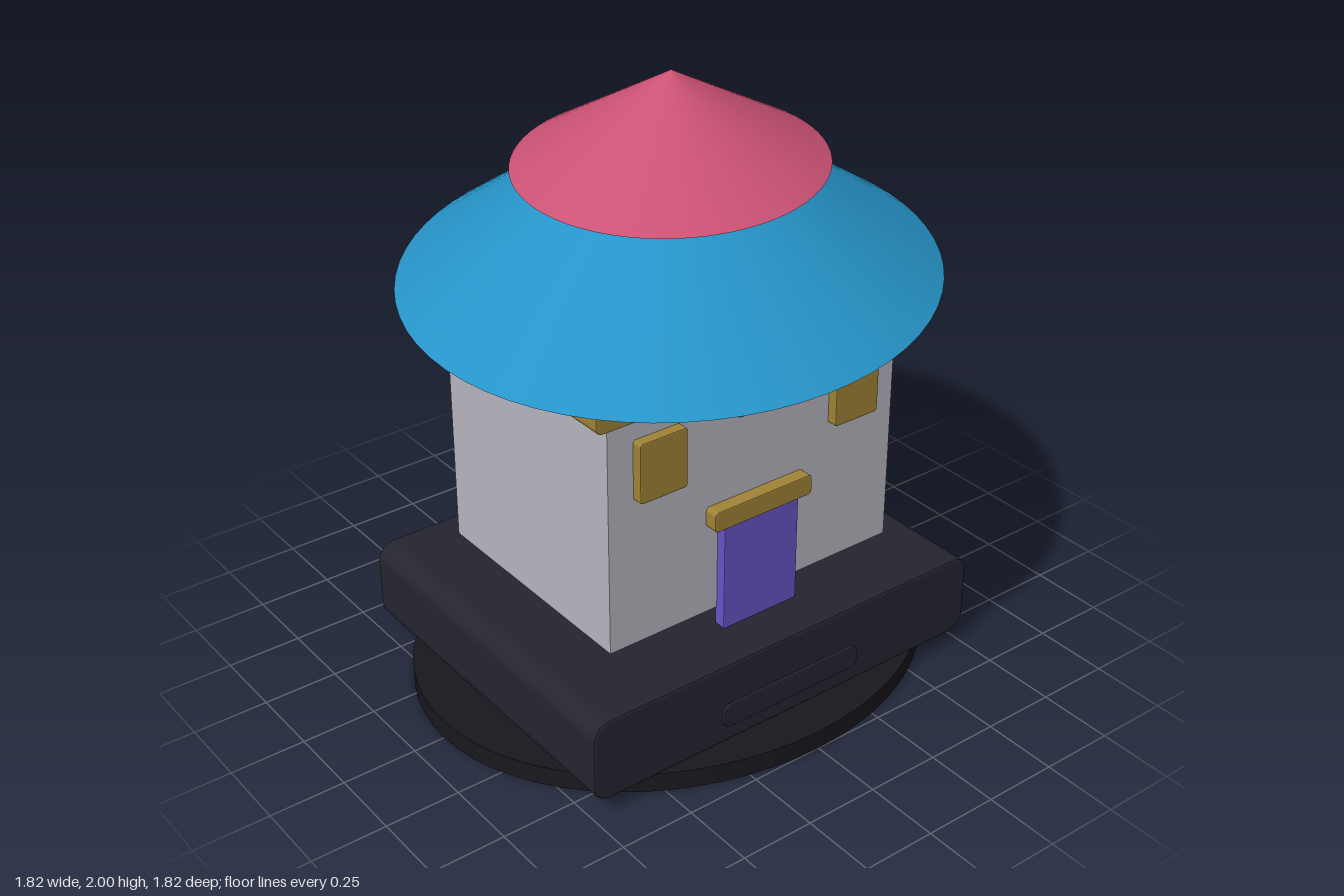
import * as THREE from 'three';

const mat = (name, color) => {
  const m = new THREE.MeshStandardMaterial({ color });
  m.name = name;
  return m;
};

// Slab with rounded front outline, spanning x, y and z ranges
function slab(x0, x1, y0, y1, z0, z1, r, bevel) {
  const a = x0 + bevel, b = x1 - bevel, c = y0 + bevel, d = y1 - bevel;
  const q = Math.max(r - bevel, 0.002);
  const s = new THREE.Shape();
  s.moveTo(a + q, c);
  s.lineTo(b - q, c);
  s.absarc(b - q, c + q, q, -Math.PI / 2, 0);
  s.lineTo(b, d - q);
  s.absarc(b - q, d - q, q, 0, Math.PI / 2);
  s.lineTo(a + q, d);
  s.absarc(a + q, d - q, q, Math.PI / 2, Math.PI);
  s.lineTo(a, c + q);
  s.absarc(a + q, c + q, q, Math.PI, Math.PI * 1.5);
  const g = new THREE.ExtrudeGeometry(s, {
    depth: z1 - z0 - 2 * bevel, curveSegments: 8,
    bevelEnabled: bevel > 0, bevelSize: bevel, bevelThickness: bevel, bevelSegments: 2,
  });
  return g.translate(0, 0, z0 + bevel);
}

// Upright round part between two heights
function round(rTop, rBottom, y0, y1) {
  return new THREE.CylinderGeometry(rTop, rBottom, y1 - y0, 64).translate(0, (y0 + y1) / 2, 0);
}

export function createModel() {
  const group = new THREE.Group();
  const wall = mat('wall grey', 0xb8b5c0);
  const pink = mat('roof pink', 0xcc5275);
  const blue = mat('roof blue', 0x2694c8);
  const purple = mat('door purple', 0x6755c6);
  const gold = mat('trim gold', 0xa08337);
  const dark = mat('plinth dark', 0x252530);
  const black = mat('base black', 0x18181e);

  const add = (name, geometry, material) => {
    const m = new THREE.Mesh(geometry, material);
    m.name = name;
    group.add(m);
    return m;
  };

  // Base and plinth
  add('baseDisc', round(1, 1, 0, 0.065).scale(0.893, 1, 0.75), black);
  add('plinth', slab(-0.75, 0.75, 0.06, 0.345, -0.61, 0.61, 0.06, 0.01), dark);
  add('plinthPanel', slab(-0.27, 0.27, 0.12, 0.2, 0.59, 0.62, 0.025, 0.004), dark);

  // House body, raised above the plinth
  add('walls', new THREE.BoxGeometry(1.1, 0.765, 0.84).translate(0, 0.7925, 0), wall);
  add('post', round(0.06, 0.06, 0.34, 0.45).translate(0.48, 0, 0), pink);

  // Front details
  add('door', slab(-0.145, 0.145, 0.345, 0.715, 0.413, 0.455, 0.006, 0.003), purple);
  add('doorLintel', slab(-0.19, 0.19, 0.715, 0.785, 0.415, 0.465, 0.015, 0.004), gold);
  add('sign', slab(-0.103, 0.103, 1.075, 1.183, 0.415, 0.455, 0.015, 0.004), blue);
  for (const side of [-1, 1]) {
    const g = slab(-0.086, 0.086, 0.912, 1.112, 0.415, 0.455, 0.01, 0.004);
    add(side > 0 ? 'leftWindow' : 'rightWindow', g.translate(side * 0.373, 0, 0), gold);
  }

  // Eaves beam
  add('eaves', slab(-0.65, 0.65, 1.23, 1.325, -0.51, 0.51, 0.025, 0.004), gold);

  // Two oval roof tiers, turned diagonally
  const lower = add('lowerRoof', round(0.405, 1, 1.38, 1.72).scale(0.987, 1, 0.826), blue);
  const upper = add('upperRoof', new THREE.ConeGeometry(1, 0.28, 64, 4)
    .translate(0, 1.86, 0).scale(0.57, 1, 0.477), pink);
  lower.rotation.y = upper.rotation.y = Math.PI / 4;

  return group;
}
